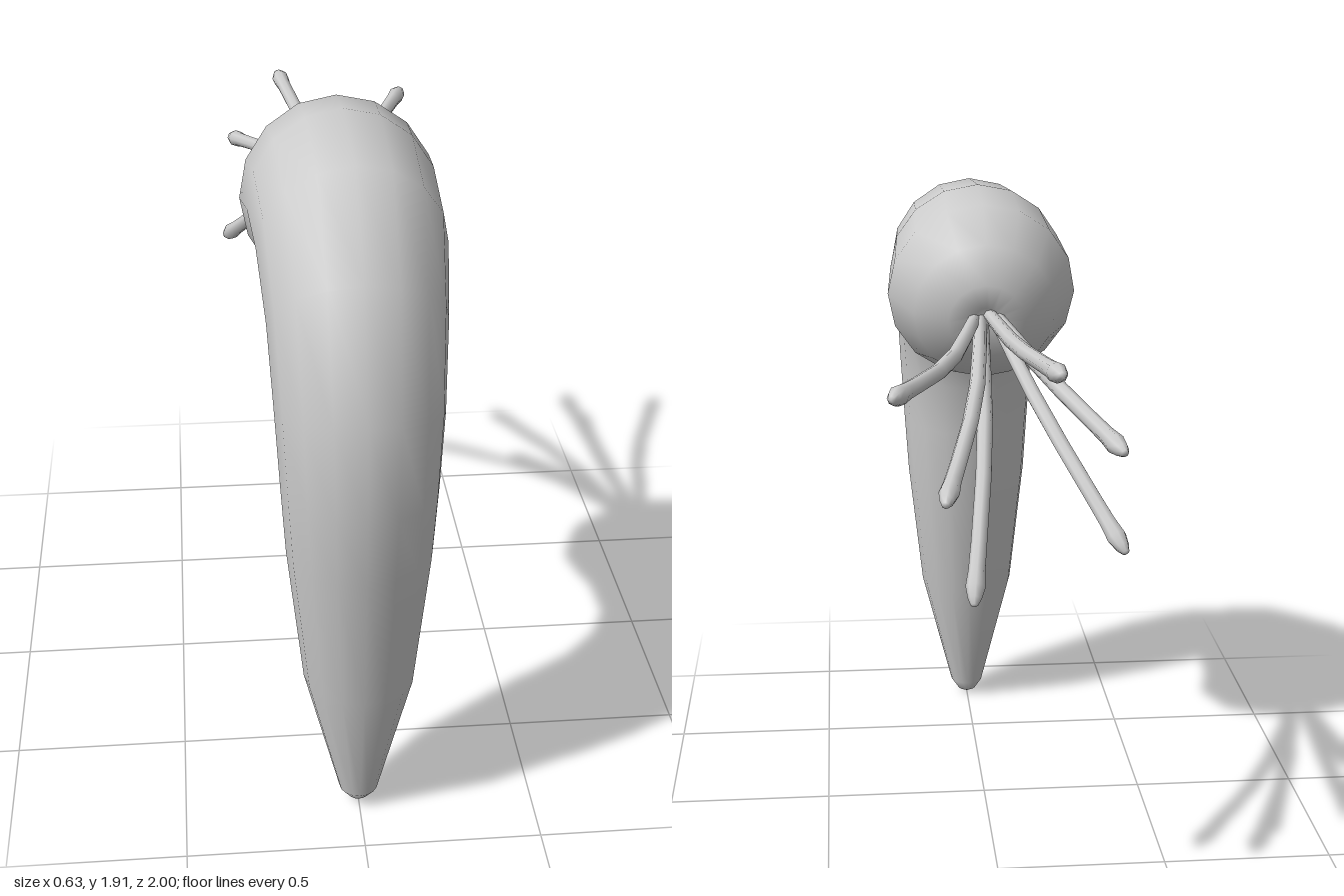
import * as THREE from 'three';
import { mergeVertices } from 'three/addons/utils/BufferGeometryUtils.js';

const V = (x, y, z) => new THREE.Vector3(x, y, z);

// Smooth skin over elliptical rings { c, u, v }, where u x v points along the path
function loft(rings, sides) {
  const pos = [], index = [];
  rings.forEach(({ c, u, v }, i) => {
    for (let j = 0; j < sides; j++) {
      const a = (j / sides) * Math.PI * 2;
      const p = c.clone().addScaledVector(u, Math.cos(a)).addScaledVector(v, Math.sin(a));
      pos.push(p.x, p.y, p.z);
      if (i === rings.length - 1) continue;
      const k = (j + 1) % sides, r = i * sides, n = r + sides;
      index.push(r + j, r + k, n + j, r + k, n + k, n + j);
    }
  });
  const raw = new THREE.BufferGeometry();
  raw.setAttribute('position', new THREE.Float32BufferAttribute(pos, 3));
  raw.setIndex(index);
  const geo = mergeVertices(raw, 1e-5);
  geo.computeVertexNormals();
  return geo;
}

// Root: each row gives the outer (z, y) and inner (z, y) edge of a round section
function rootGeometry() {
  const rows = [
    [0.79, 0, 0.79, 0],
    [0.82, 0.015, 0.76, 0.015],
    [0.85, 0.05, 0.74, 0.05],
    [0.945, 0.45, 0.635, 0.44],
    [0.986, 0.86, 0.587, 0.85],
    [1.0, 1.06, 0.578, 1.03],
    [0.99, 1.33, 0.565, 1.19],
    [0.86, 1.66, 0.53, 1.32],
    [0.605, 1.88, 0.475, 1.39],
    [0.245, 1.91, 0.36, 1.39],
    [0.04, 1.88, 0.175, 1.335],
    [-0.07, 1.78, 0.02, 1.37],
    [-0.112, 1.67, -0.065, 1.45],
    [-0.09, 1.6, -0.075, 1.53], // dimple around the stalks
    [-0.06, 1.565, -0.06, 1.565],
  ];
  return loft(rows.map(([oz, oy, iz, iy]) => ({
    c: V(0, (oy + iy) / 2, (oz + iz) / 2),
    u: V(Math.hypot(oz - iz, oy - iy) / 2, 0, 0),
    v: V(0, (iy - oy) / 2, (iz - oz) / 2),
  })), 16);
}

// Stalk: thin curved stem with a slightly swollen pointed tip
function stalkGeometry(points) {
  const curve = new THREE.CatmullRomCurve3(points);
  const profile = [[0, 0.019], [0.2, 0.021], [0.4, 0.022], [0.6, 0.022], [0.8, 0.022],
    [0.89, 0.023], [0.94, 0.027], [0.975, 0.019], [0.995, 0.01], [1, 0]];
  return loft(profile.map(([t, r]) => {
    const d = curve.getTangentAt(t);
    const v = d.clone().cross(V(1, 0, 0)).normalize();
    const u = v.clone().cross(d);
    return { c: curve.getPointAt(t), u: u.multiplyScalar(r), v: v.multiplyScalar(r) };
  }), 8);
}

export function createModel() {
  const group = new THREE.Group();
  const material = new THREE.MeshStandardMaterial({ color: 0xcccccc });
  const add = (name, geometry) => {
    const mesh = new THREE.Mesh(geometry, material);
    mesh.name = name;
    group.add(mesh);
  };

  add('root', rootGeometry());

  // Stalks fan out from the crown: base, middle and tip of each
  const stalks = [
    [V(-0.01, 1.575, -0.05), V(-0.045, 1.585, -0.5), V(-0.11, 1.62, -0.995)],
    [V(0.03, 1.565, -0.05), V(0.135, 1.54, -0.5), V(0.305, 1.56, -0.96)],
    [V(-0.03, 1.57, -0.05), V(-0.125, 1.505, -0.5), V(-0.275, 1.41, -0.96)],
    [V(0.015, 1.565, -0.05), V(0.065, 1.435, -0.5), V(0.175, 1.285, -0.96)],
    [V(-0.025, 1.565, -0.05), V(-0.125, 1.385, -0.45), V(-0.305, 1.1, -0.83)],
    [V(0.01, 1.565, -0.05), V(0.035, 1.285, -0.45), V(0.09, 0.945, -0.78)],
  ];
  stalks.forEach((points, i) => add(`stalk${i + 1}`, stalkGeometry(points)));
  return group;
}
